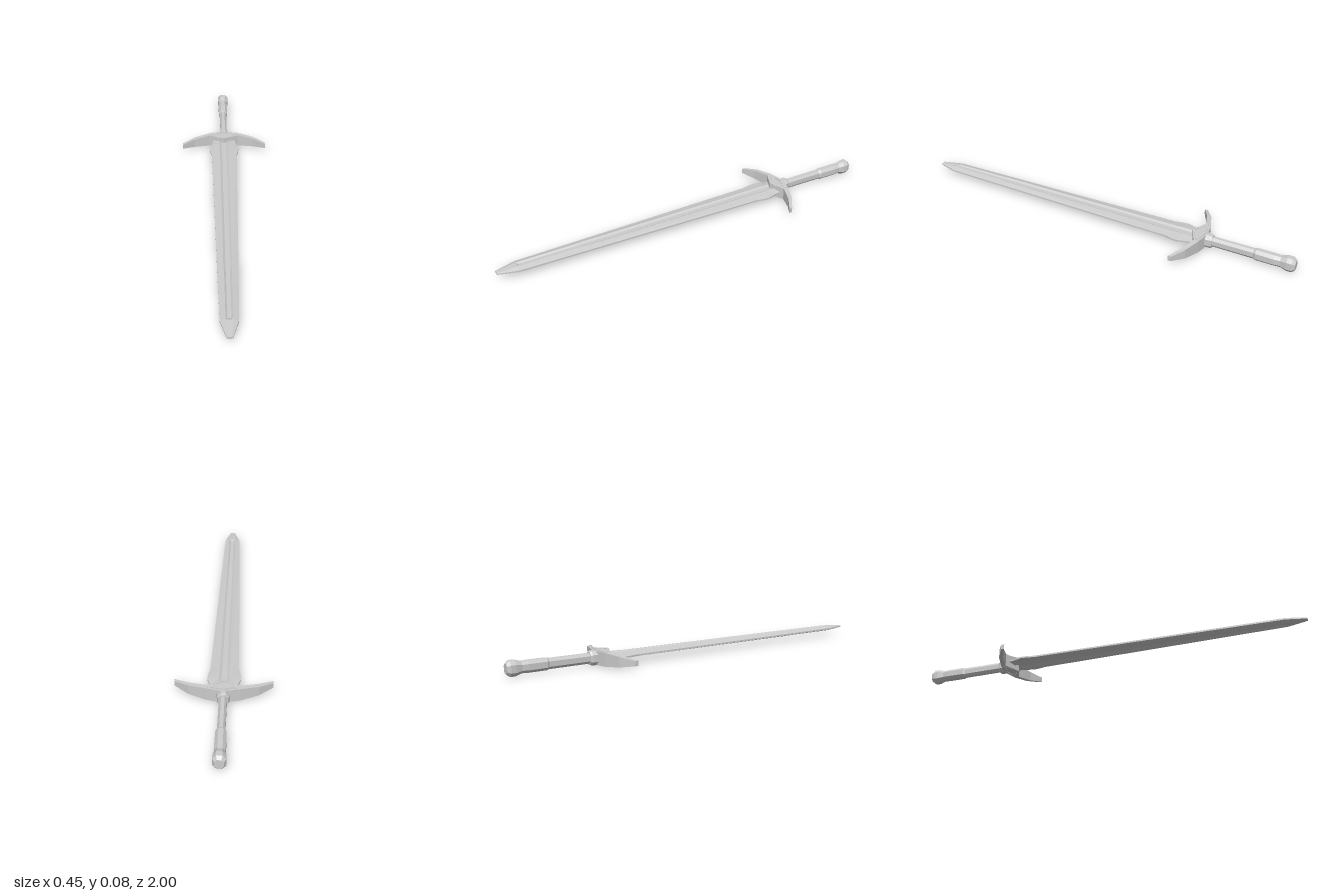
import * as THREE from 'three';

const MID = 0.04; // height of the sword's central plane

const material = new THREE.MeshStandardMaterial({ color: 0xcccccc, flatShading: true });

// Skins equal-sized rings of [x, y, z] points and closes both ends
function loft(name, rings) {
  const pos = [];
  const tri = (a, b, c) => pos.push(...a, ...b, ...c);
  const centre = ring => [0, 1, 2].map(k => ring.reduce((s, p) => s + p[k], 0) / ring.length);
  const n = rings[0].length;
  for (let r = 0; r < rings.length - 1; r++) {
    const a = rings[r], b = rings[r + 1];
    for (let i = 0; i < n; i++) {
      const j = (i + 1) % n;
      tri(a[i], a[j], b[j]);
      tri(a[i], b[j], b[i]);
    }
  }
  const first = rings[0], last = rings[rings.length - 1];
  for (let i = 0; i < n; i++) {
    const j = (i + 1) % n;
    tri(centre(first), first[j], first[i]);
    tri(centre(last), last[i], last[j]);
  }
  const g = new THREE.BufferGeometry();
  g.setAttribute('position', new THREE.Float32BufferAttribute(pos, 3));
  g.computeVertexNormals();
  const mesh = new THREE.Mesh(g, material);
  mesh.name = name;
  return mesh;
}

// Blade: bevelled edges, flat ridges and a sunken central groove
function makeBlade() {
  // z, half width, edge half height, ridge x, ridge half height, groove x, groove half height
  const stations = [
    [-0.52, 0.060, 0.004, 0.024, 0.0125, 0.014, 0.006],
    [-0.49, 0.062, 0.004, 0.024, 0.0125, 0.014, 0.006],
    [-0.44, 0.078, 0.004, 0.024, 0.0125, 0.014, 0.006],
    [-0.41, 0.076, 0.004, 0.024, 0.0125, 0.013, 0.006],
    [-0.37, 0.067, 0.004, 0.023, 0.0125, 0.012, 0.006],
    [0.57, 0.048, 0.004, 0.020, 0.0125, 0.010, 0.006],
    [0.61, 0.047, 0.004, 0.017, 0.0125, 0.009, 0.006],
    [0.89, 0.041, 0.004, 0.016, 0.012, 0.009, 0.006],
    [0.905, 0.040, 0.004, 0.016, 0.0115, 0.009, 0.0115],
    [1.0, 0.013, 0.003, 0.008, 0.005, 0.004, 0.005],
  ];
  return loft('blade', stations.map(([z, w, e, rx, ry, gx, gy]) => {
    const upper = [[w, e], [rx, ry], [gx, gy], [-gx, gy], [-rx, ry], [-w, e]];
    const lower = upper.map(([x, y]) => [-x, -y]);
    return [...upper, ...lower].map(([x, y]) => [x, y, z]);
  }));
}

// Crossguard: arms sweep towards the blade and taper to blunt ends
function makeGuard() {
  // x, half height, back z, front z
  const half = [
    [0, 0.0325, -0.565, -0.488],
    [0.032, 0.0325, -0.561, -0.503],
    [0.078, 0.0325, -0.550, -0.525],
    [0.16, 0.024, -0.521, -0.498],
    [0.226, 0.0125, -0.477, -0.460],
  ];
  const all = [...half.slice(1).reverse().map(([x, ...s]) => [-x, ...s]), ...half];
  return loft('crossguard', all.map(([x, h, back, front]) =>
    [[x, -h, back], [x, h, back], [x, h, front], [x, -h, front]]));
}

// Raised frame on a guard face, highest along the centre line
function makeGuardFrame(side) {
  const outline = s => [[-0.074, -0.542], [-0.03, -0.502], [0, -0.488], [0.03, -0.502],
    [0.074, -0.542], [0, -0.557]].map(([x, z]) => new THREE.Vector2(x * s, -(z + 0.528) * s));
  const shape = new THREE.Shape(outline(1));
  shape.holes.push(new THREE.Path(outline(0.72)));
  const g = new THREE.ExtrudeGeometry(shape, { depth: 1, bevelEnabled: false });
  g.rotateX(-Math.PI / 2);
  const p = g.attributes.position;
  for (let i = 0; i < p.count; i++) {
    const top = Math.max(0.0335, 0.0375 - 0.11 * Math.abs(p.getX(i)));
    p.setY(i, p.getY(i) > 0.5 ? top : 0.03);
  }
  g.translate(0, 0, -0.528);
  if (side < 0) {
    // Turn over about the length of the sword
    g.rotateZ(Math.PI);
  }
  g.computeVertexNormals();
  const mesh = new THREE.Mesh(g, material);
  mesh.name = side > 0 ? 'upperGuardFrame' : 'lowerGuardFrame';
  return mesh;
}

// Eight-sided handle part from [z, half width, half height] stations
function makeHandlePart(name, stations) {
  return loft(name, stations.map(([z, w, h]) => {
    const a = w * 0.45, b = h * 0.5;
    return [[w, -b], [w, b], [a, h], [-a, h], [-w, b], [-w, -b], [-a, -h], [a, -h]]
      .map(([x, y]) => [x, y, z]);
  }));
}

export function createModel() {
  const sword = new THREE.Group();
  sword.name = 'sword';
  sword.add(
    makeBlade(),
    makeGuard(),
    makeGuardFrame(1),
    makeGuardFrame(-1),
    makeHandlePart('collar', [[-0.595, 0.022, 0.030], [-0.585, 0.027, 0.034], [-0.55, 0.030, 0.034]]),
    makeHandlePart('grip', [[-0.81, 0.018, 0.025], [-0.57, 0.018, 0.024]]),
    makeHandlePart('rearGrip', [[-0.945, 0.021, 0.026], [-0.90, 0.025, 0.028],
      [-0.81, 0.024, 0.028], [-0.80, 0.018, 0.025]]),
    makeHandlePart('pommel', [[-1.0, 0.020, 0.024], [-0.985, 0.029, 0.036],
      [-0.96, 0.029, 0.036], [-0.93, 0.022, 0.027]]),
  );
  sword.position.y = MID;
  const model = new THREE.Group();
  model.add(sword);
  return model;
}
